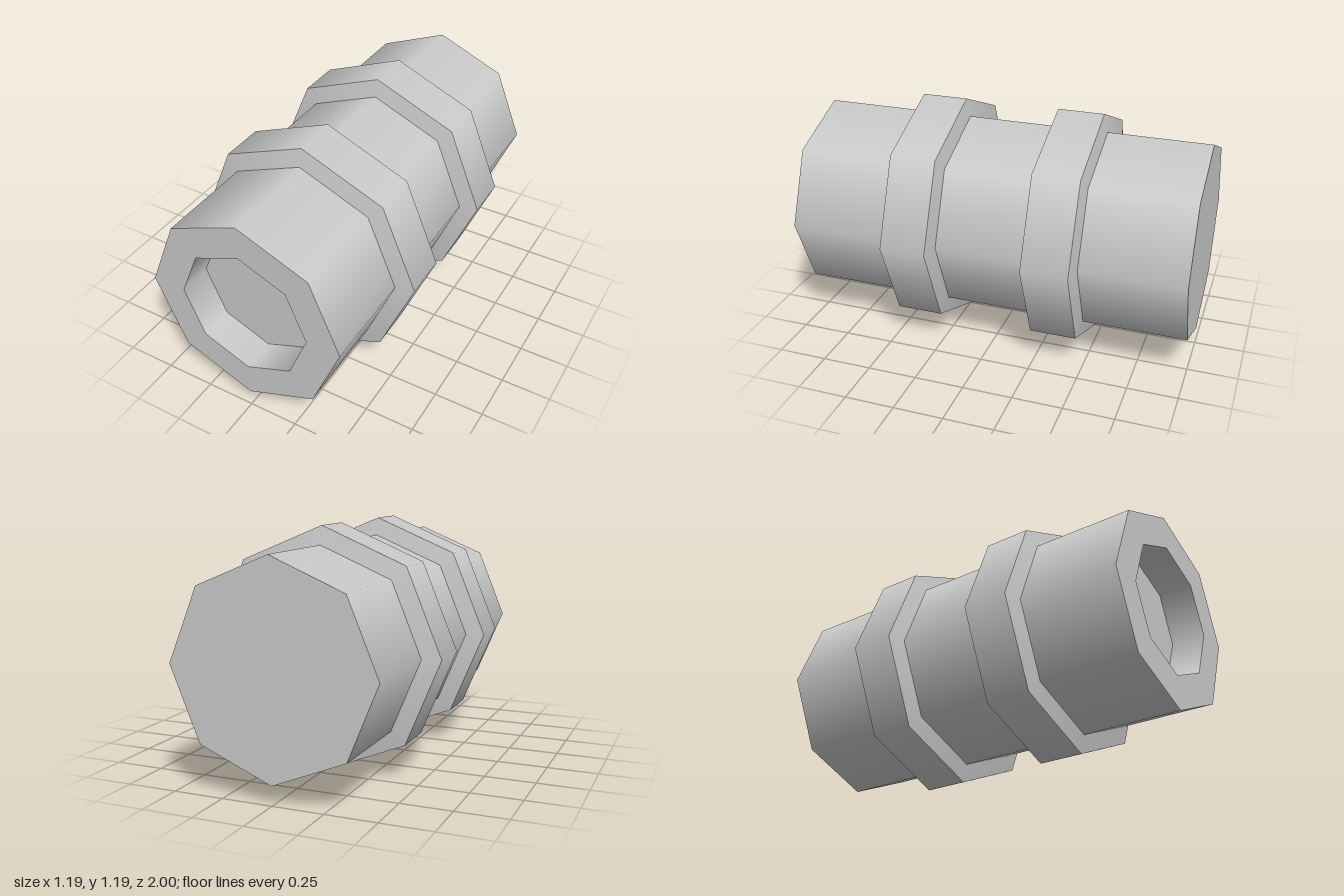
import * as THREE from 'three';
import { mergeGeometries } from 'three/addons/utils/BufferGeometryUtils.js';

const SIDES = 8;
const BODY_R = 0.506;
const COLLAR_R = 0.597;

// Turns a [radius, z] profile round the z axis: smooth around, sharp along the profile.
function turned(name, profile, material) {
  const strips = [];
  for (let i = 0; i < profile.length - 1; i++) {
    const pair = [profile[i], profile[i + 1]].map(([r, z]) => new THREE.Vector2(r, z));
    strips.push(new THREE.LatheGeometry(pair, SIDES));
  }
  const geometry = mergeGeometries(strips);
  geometry.rotateX(Math.PI / 2);
  const mesh = new THREE.Mesh(geometry, material);
  mesh.name = name;
  return mesh;
}

export function createModel() {
  const group = new THREE.Group();
  group.name = 'collaredPipe';
  const material = new THREE.MeshStandardMaterial({ color: 0xcccccc });

  // Body: closed back, long wall, front rim and shallow socket
  const body = turned('body', [
    [0, -1], [BODY_R, -1], [BODY_R, 1], [0.335, 1], [0.335, 0.83], [0, 0.83],
  ], material);
  group.add(body);

  // Two bevelled collars
  const collarProfile = [[BODY_R, -0.136], [COLLAR_R, -0.116], [COLLAR_R, 0.116], [BODY_R, 0.136]];
  for (const [name, z] of [['frontCollar', 0.361], ['backCollar', -0.351]]) {
    const collar = turned(name, collarProfile, material);
    collar.position.z = z;
    group.add(collar);
  }

  // Rest the collars on the ground
  for (const part of group.children) part.position.y = COLLAR_R;
  return group;
}
